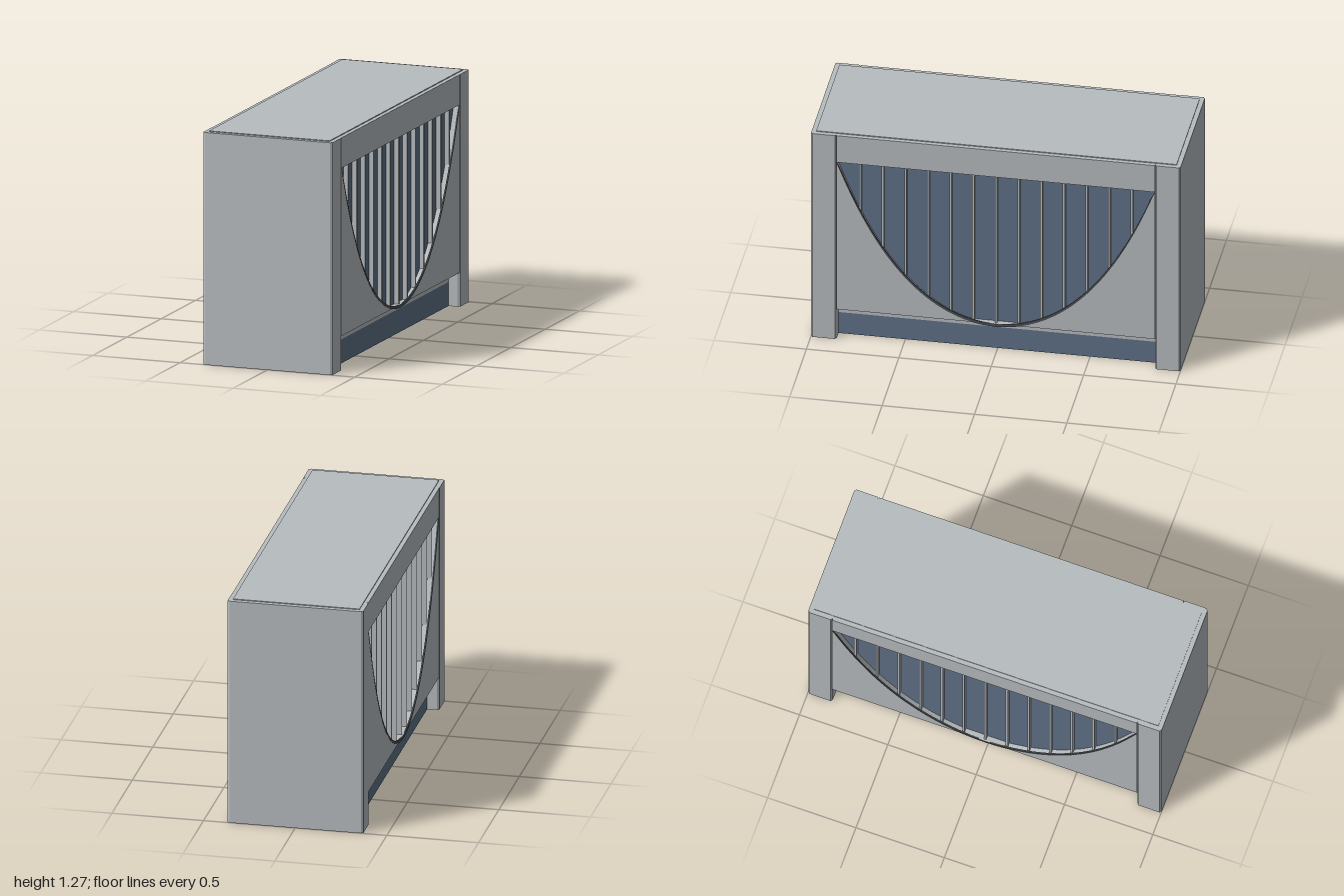
import * as THREE from 'three';

const grey = new THREE.MeshStandardMaterial({ color: 0xb7bcbf });
grey.name = 'stone grey';
const blue = new THREE.MeshStandardMaterial({ color: 0x5f7187, side: THREE.DoubleSide });
blue.name = 'glass blue';
const dark = new THREE.MeshStandardMaterial({ color: 0x4d5256 });
dark.name = 'trim dark grey';

const HALF_W = 0.37, FACADE_X = 0.369, GLASS_X = 0.335, BASE_X = 0.305;
const TOWER_Z = 0.862, TOP = 1.265, ARCH_TOP = 1.1, ARCH_BOTTOM = 0.17;
const FLOOR = 0.186, SKIRT = 0.13;

// hanging-chain curve of the big opening
const archY = (z) => ARCH_BOTTOM + (ARCH_TOP - ARCH_BOTTOM) *
  (Math.cosh(1.8 * z / TOWER_Z) - 1) / (Math.cosh(1.8) - 1);

function archPoints(lift = 0) {
  const pts = [];
  for (let i = 0; i <= 64; i++) {
    const z = TOWER_Z * (i / 32 - 1);
    pts.push(new THREE.Vector2(z, Math.min(archY(z) + lift, ARCH_TOP)));
  }
  return pts;
}

function add(parent, name, geometry, material, x = 0, y = 0, z = 0) {
  const mesh = new THREE.Mesh(geometry, material);
  mesh.name = name;
  mesh.position.set(x, y, z);
  parent.add(mesh);
}

function box(parent, name, material, x0, x1, y0, y1, z0, z1) {
  add(parent, name, new THREE.BoxGeometry(x1 - x0, y1 - y0, z1 - z0), material,
    (x0 + x1) / 2, (y0 + y1) / 2, (z0 + z1) / 2);
}

// extrude a (z, y) outline outward along +x
function sidePlate(points, depth) {
  return new THREE.ExtrudeGeometry(new THREE.Shape(points), { depth, bevelEnabled: false })
    .rotateY(Math.PI / 2);
}

// chamfered rectangle of an end block, shrunk by an inset
function towerOutline(inset = 0) {
  const w = HALF_W - inset, d = (1 - TOWER_Z) / 2 - inset, cx = 0.012, cz = 0.008;
  return [
    [-w + cx, -d], [w - cx, -d], [w, -d + cz], [w, d - cz],
    [w - cx, d], [-w + cx, d], [-w, d - cz], [-w, -d + cz],
  ].map(([x, z]) => new THREE.Vector2(x, z));
}

// hollow end block, open at the bottom
function createTower() {
  const tower = new THREE.Group();
  const ring = new THREE.Shape(towerOutline());
  ring.holes.push(new THREE.Path(towerOutline(0.003)));
  const walls = new THREE.ExtrudeGeometry(ring, { depth: TOP, bevelEnabled: false });
  add(tower, 'towerWalls', walls.rotateX(-Math.PI / 2), grey);
  const cap = new THREE.ShapeGeometry(new THREE.Shape(towerOutline()));
  add(tower, 'towerCap', cap.rotateX(-Math.PI / 2), grey, 0, TOP + 0.0005);
  return tower;
}

function createSide() {
  const side = new THREE.Group();

  // wall below the curve and header above the opening
  const wall = [
    new THREE.Vector2(-TOWER_Z, FLOOR), new THREE.Vector2(TOWER_Z, FLOOR),
    ...archPoints().reverse().map((p) => new THREE.Vector2(p.x, Math.max(p.y, FLOOR + 0.001))),
  ];
  add(side, 'facadeWall', sidePlate(wall, FACADE_X - BASE_X), grey, BASE_X);
  box(side, 'facadeHeader', grey, BASE_X, FACADE_X, ARCH_TOP, TOP, -TOWER_Z, TOWER_Z);

  // thin dark trim along the curve
  const trim = [...archPoints(), ...archPoints(0.016).reverse()];
  add(side, 'archTrim', sidePlate(trim, 0.008), dark, HALF_W - 0.008);

  // glass and its vertical fins
  const pane = new THREE.PlaneGeometry(2 * TOWER_Z, ARCH_TOP - ARCH_BOTTOM).rotateY(Math.PI / 2);
  add(side, 'glass', pane, blue, GLASS_X, (ARCH_TOP + ARCH_BOTTOM) / 2);
  for (let i = -6; i <= 6; i++) {
    const z = i * 0.1225;
    box(side, 'windowFin', grey, GLASS_X, GLASS_X + 0.025,
      Math.max(archY(z), FLOOR), ARCH_TOP, z - 0.006, z + 0.006);
  }

  // recessed base: grey beam above a blue skirt
  box(side, 'baseBeam', grey, BASE_X - 0.004, BASE_X, SKIRT, FLOOR, -TOWER_Z, TOWER_Z);
  box(side, 'baseSkirt', blue, BASE_X - 0.004, BASE_X, 0, SKIRT, -TOWER_Z, TOWER_Z);
  return side;
}

export function createModel() {
  const model = new THREE.Group();
  model.name = 'building';

  // two end blocks
  for (const s of [-1, 1]) {
    const tower = createTower();
    tower.name = 'endTower';
    tower.position.z = s * (1 + TOWER_Z) / 2;
    model.add(tower);
  }

  // long sides
  for (const [name, angle] of [['leftSide', 0], ['rightSide', Math.PI]]) {
    const side = createSide();
    side.name = name;
    side.rotation.y = angle;
    model.add(side);
  }

  // floor slab, roof slab and raised roof panel
  box(model, 'floorSlab', grey, -BASE_X, BASE_X, FLOOR - 0.002, FLOOR + 0.03, -TOWER_Z, TOWER_Z);
  box(model, 'roofSlab', grey, -BASE_X, BASE_X, TOP - 0.04, TOP, -TOWER_Z, TOWER_Z);
  box(model, 'roofPanel', grey, -0.345, 0.345, TOP - 0.01, TOP + 0.005, -0.975, 0.975);
  return model;
}
